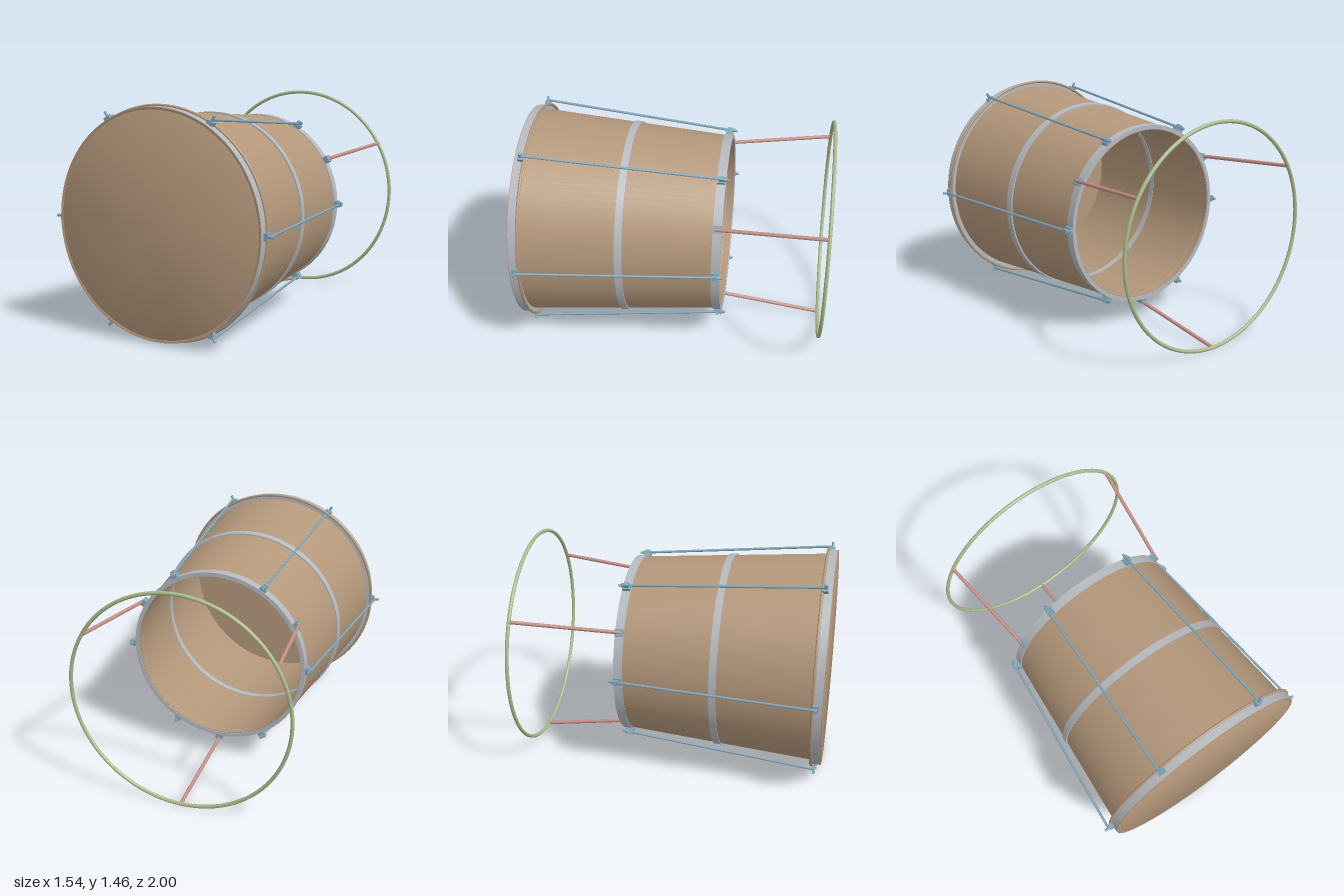
import * as THREE from 'three';
import { toCreasedNormals } from 'three/addons/utils/BufferGeometryUtils.js';

const material = (color) => new THREE.MeshStandardMaterial({ color });
const wood = material(0xb3977a);
const metal = material(0xb4b9be);
const blue = material(0x7fa5b8);
const pink = material(0xc48f84);
const green = material(0xa9ba8c);

export function createModel() {
  const model = new THREE.Group();
  // everything is arranged around the z axis, then lifted to rest on the floor
  model.position.y = 0.73;

  const add = (parent, name, geometry, mat) => {
    const mesh = new THREE.Mesh(geometry, mat);
    mesh.name = name;
    parent.add(mesh);
    return mesh;
  };

  // revolve [radius, z] pairs around the z axis
  const turned = (name, points, mat) => {
    const profile = points.map(([r, z]) => new THREE.Vector2(r, z));
    const geometry = new THREE.LatheGeometry(profile, 96).rotateX(Math.PI / 2);
    return add(model, name, toCreasedNormals(geometry, 0.6), mat);
  };

  const band = (name, z0, z1, inner0, inner1, outer0, outer1) =>
    turned(name, [[inner0, z0], [outer0, z0], [outer1, z1], [inner1, z1], [inner0, z0]], metal);

  const bar = (parent, name, a, b, radius, mat) => {
    const start = new THREE.Vector3(...a);
    const dir = new THREE.Vector3(...b).sub(start);
    const mesh = add(parent, name, new THREE.CylinderGeometry(radius, radius, dir.length(), 16), mat);
    mesh.position.copy(start).addScaledVector(dir, 0.5);
    mesh.quaternion.setFromUnitVectors(new THREE.Vector3(0, 1, 0), dir.normalize());
  };

  // box given by its radial (x), sideways (y) and axial (z) size
  const block = (parent, name, size, x, z) =>
    add(parent, name, new THREE.BoxGeometry(...size), blue).position.set(x, 0, z);

  // tapered shell, open at the back
  turned('shell', [
    [0.562, -0.325], [0.582, -0.325], [0.688, 0.985], [0.668, 0.985], [0.562, -0.325],
  ], wood);

  // drum head with a thin lip over the front hoop
  turned('drumHead', [
    [0, 0.98], [0.694, 0.98], [0.694, 0.996], [0.711, 0.996], [0.711, 1], [0.7, 1], [0.695, 0.997],
    [0.69, 1], [0, 1],
  ], wood);

  // metal bands
  band('frontHoop', 0.94, 0.996, 0.68, 0.68, 0.712, 0.712);
  band('middleBand', 0.288, 0.335, 0.608, 0.612, 0.641, 0.645);
  band('backBand', -0.33, -0.273, 0.566, 0.566, 0.592, 0.592);

  // round hoop that the hooks pull on
  add(model, 'tensionHoop', new THREE.TorusGeometry(0.717, 0.009, 12, 96), wood).position.z = 0.937;

  // six tension rods with their hooks and brackets
  for (let i = 0; i < 6; i++) {
    const rod = new THREE.Group();
    rod.name = 'tensionRod' + (i + 1);
    rod.rotation.z = (i * Math.PI) / 3;
    bar(rod, 'rod', [0.745, 0, 0.957], [0.615, 0, -0.352], 0.008, blue);
    bar(rod, 'hook', [0.705, 0, 0.957], [0.772, 0, 0.957], 0.009, blue);
    block(rod, 'hookPlate', [0.03, 0.045, 0.035], 0.722, 0.955);
    block(rod, 'backBracket', [0.03, 0.045, 0.05], 0.597, -0.301);
    block(rod, 'bracketEar', [0.035, 0.026, 0.03], 0.62, -0.301);
    bar(rod, 'nut', [0.619, 0, -0.318], [0.617, 0, -0.334], 0.014, blue);
    model.add(rod);
  }

  // three splayed legs carrying the stand ring
  for (let i = 0; i < 3; i++) {
    const leg = new THREE.Group();
    leg.name = 'leg' + (i + 1);
    leg.rotation.z = Math.PI / 6 + (i * Math.PI * 2) / 3;
    bar(leg, 'legRod', [0.615, 0, -0.285], [0.717, 0, -0.988], 0.012, pink);
    block(leg, 'legBracket', [0.04, 0.045, 0.05], 0.603, -0.301);
    model.add(leg);
  }
  add(model, 'standRing', new THREE.TorusGeometry(0.717, 0.012, 12, 96), green).position.z = -0.988;

  const root = new THREE.Group();
  root.name = 'drum';
  root.add(model);
  return root;
}
